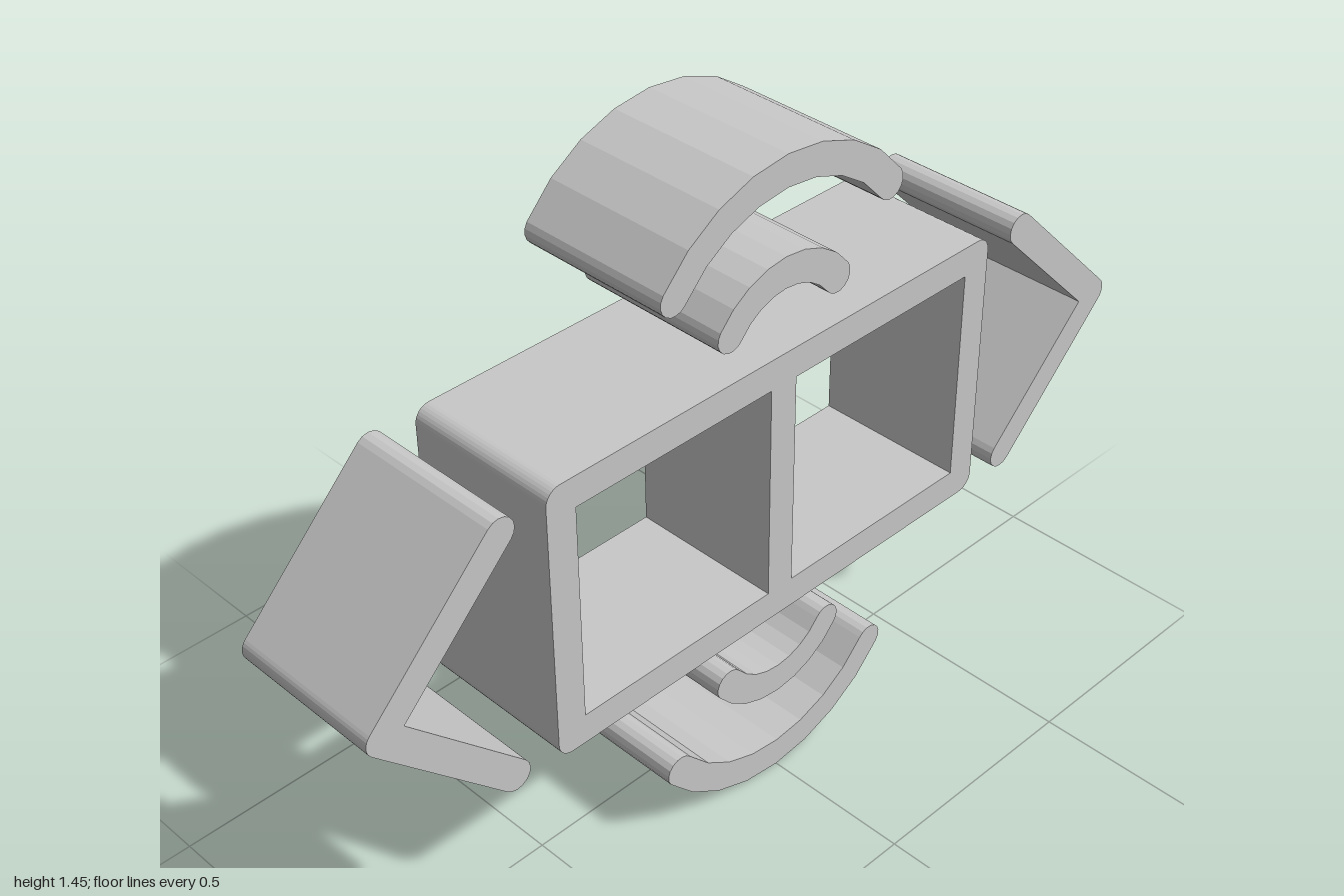
import * as THREE from 'three';

const DEPTH = 0.345, MID_Y = 0.7235, R = 0.0335;

export function createModel() {
  const model = new THREE.Group();
  const grey = new THREE.MeshStandardMaterial({ color: 0xc8c8c8 });
  grey.name = 'light grey';

  // extrude an outline centred on z = 0
  const add = (name, shape, segments = 4) => {
    const geo = new THREE.ExtrudeGeometry(shape, {
      depth: DEPTH, bevelEnabled: false, curveSegments: segments,
    });
    geo.translate(0, 0, -DEPTH / 2);
    const mesh = new THREE.Mesh(geo, grey);
    mesh.name = name;
    mesh.position.y = MID_Y;
    model.add(mesh);
    return mesh;
  };

  // rectangular frame with rounded corners and two windows
  const w = 0.585, h = 0.309, c = 0.033;
  const frame = new THREE.Shape();
  frame.absarc(w - c, h - c, c, 0, Math.PI / 2);
  frame.absarc(-w + c, h - c, c, Math.PI / 2, Math.PI);
  frame.absarc(-w + c, -h + c, c, Math.PI, Math.PI * 1.5);
  frame.absarc(w - c, -h + c, c, Math.PI * 1.5, Math.PI * 2);
  frame.closePath();
  for (const [a, b] of [[-0.518, -0.033], [0.033, 0.518]]) {
    const hole = new THREE.Path();
    hole.moveTo(a, -0.242).lineTo(a, 0.242).lineTo(b, 0.242).lineTo(b, -0.242).closePath();
    frame.holes.push(hole);
  }
  add('frame', frame);

  // curved bars with round ends, above and below the frame
  const arcBar = (radius, centreY, half) => {
    const points = [];
    const sweep = (cx, cy, r, from, to, n) => {
      for (let i = 0; i <= n; i++) {
        const t = from + (to - from) * i / n;
        points.push(new THREE.Vector2(cx + r * Math.cos(t), cy + r * Math.sin(t)));
      }
    };
    const a = Math.PI / 2 - half, b = Math.PI / 2 + half;
    sweep(0, centreY, radius + R, a, b, 8);
    sweep(radius * Math.cos(b), centreY + radius * Math.sin(b), R, b, b + Math.PI, 8);
    sweep(0, centreY, radius - R, b, a, 8);
    sweep(radius * Math.cos(a), centreY + radius * Math.sin(a), R, a + Math.PI, a + Math.PI * 2, 8);
    return new THREE.Shape(points);
  };
  for (const [size, radius, centreY, half] of [
    ['large', 0.347, 0.343, 0.925], ['small', 0.172, 0.311, 0.945],
  ]) {
    add(size + 'UpperArc', arcBar(radius, centreY, half));
    add(size + 'LowerArc', arcBar(radius, centreY, half)).rotation.z = Math.PI;
  }

  // pointed side brackets with rounded tips and ends
  const tip = 0.9665, end = 0.688, rise = tip - end, q = Math.PI / 4;
  const bracket = new THREE.Shape();
  bracket.absarc(tip, 0, R, -q, q);
  bracket.absarc(end, rise, R, q, q + Math.PI);
  bracket.lineTo(tip - R * Math.SQRT2, 0);
  bracket.absarc(end, -rise, R, 3 * q, 7 * q);
  bracket.closePath();
  add('leftBracket', bracket);
  add('rightBracket', bracket).rotation.z = Math.PI;

  return model;
}
